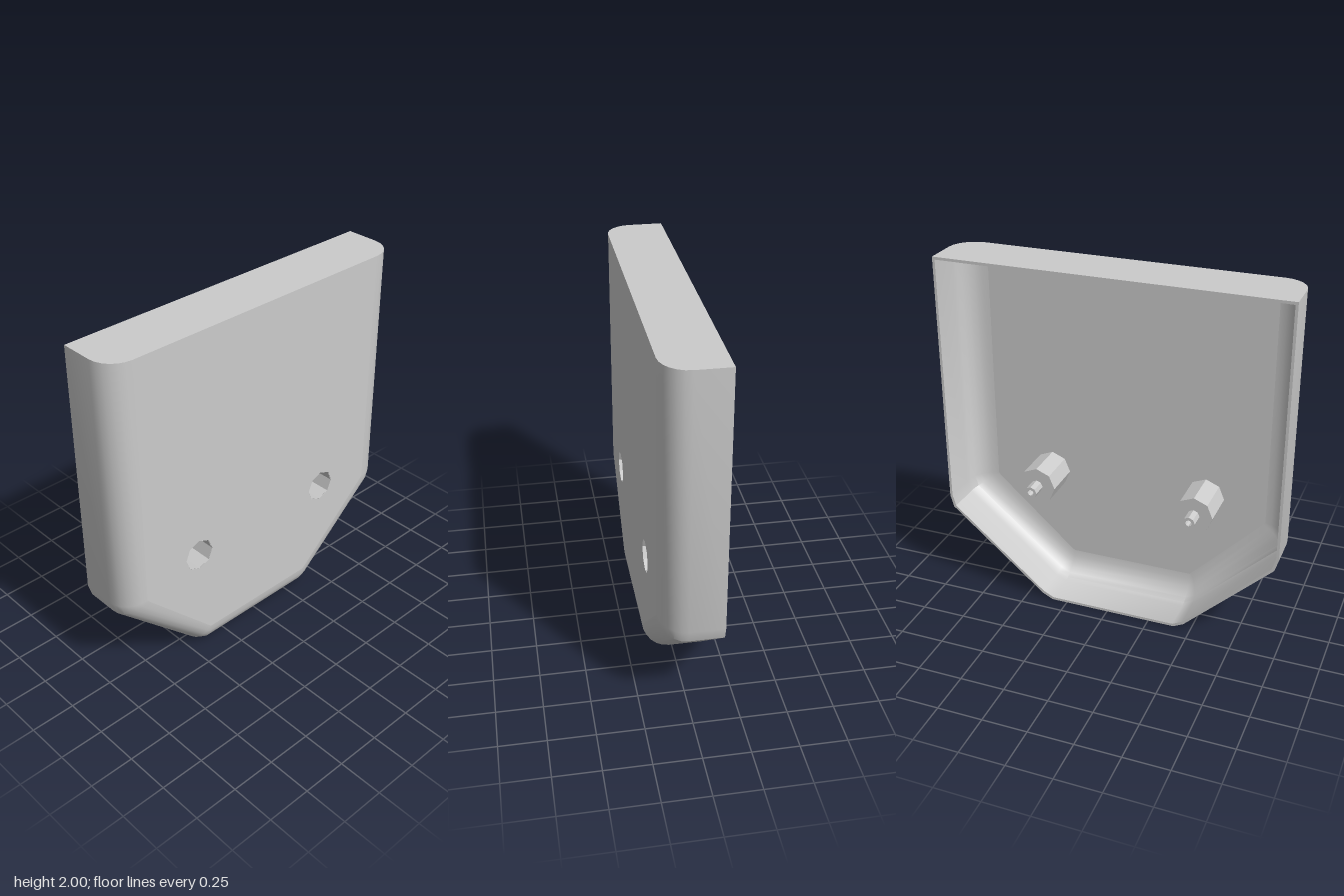
import * as THREE from 'three';
import { toCreasedNormals } from 'three/addons/utils/BufferGeometryUtils.js';

const BACK = -0.165, FRONT = 0.16, ROUND = 0.14, WALL = 0.015;
const POSTS = [[-0.47, 0.69], [0.455, 0.69]];

// Outer outline, and the matching outline of the flat front panel
const OUTER = [[-0.97, 2], [-0.97, 0.57], [-0.95, 0.5], [-0.46, 0.03], [-0.4, 0],
  [0.34, 0], [0.4, 0.03], [0.95, 0.5], [0.97, 0.57], [0.97, 2]];
const PANEL = [[-0.83, 2], [-0.83, 0.59], [-0.82, 0.575], [-0.41, 0.155], [-0.4, 0.145],
  [0.33, 0.145], [0.345, 0.155], [0.81, 0.575], [0.82, 0.59], [0.82, 2]];

// One loop round the tray: t runs 0 (side wall) to 1 (front panel)
function ring(t, z, shrink) {
  return OUTER.map(([x, y], i) => {
    const px = x + (PANEL[i][0] - x) * t, py = y + (PANEL[i][1] - y) * t;
    return [px * shrink, 1 + (py - 1) * shrink, z];
  });
}

// Loops from the back rim to the front panel
function skin(shrink, front) {
  const rings = [ring(0, BACK, shrink)];
  const steps = 6, start = FRONT - ROUND;
  for (let i = 0; i <= steps; i++) {
    const a = (i / steps) * Math.PI / 2;
    rings.push(ring(1 - Math.cos(a), start + (front - start) * Math.sin(a), shrink));
  }
  return rings;
}

function loft(rings) {
  const n = rings[0].length, index = [];
  for (let r = 0; r < rings.length - 1; r++) {
    for (let k = 0; k < n; k++) {
      const a = r * n + k, b = r * n + (k + 1) % n;
      index.push(a, b, b + n, a, b + n, a + n);
    }
  }
  const g = new THREE.BufferGeometry();
  g.setAttribute('position', new THREE.Float32BufferAttribute(rings.flat(2), 3));
  g.setIndex(index);
  return toCreasedNormals(g, 0.5);
}

export function createModel() {
  const group = new THREE.Group();
  const material = new THREE.MeshStandardMaterial({ color: 0xcccccc, side: THREE.DoubleSide });
  const add = (name, geometry) => {
    const mesh = new THREE.Mesh(geometry, material);
    mesh.name = name;
    group.add(mesh);
    return mesh;
  };

  // Side walls with rounded front edges: inside skin, back rim, outside skin
  const inside = skin(1 - WALL, FRONT - WALL).reverse();
  add('walls', loft([...inside, ...skin(1, FRONT)]));

  // Flat front panel with two screw holes
  const shape = new THREE.Shape(PANEL.map(([x, y]) => new THREE.Vector2(x, y)));
  for (const [x, y] of POSTS) {
    const hole = new THREE.Path();
    hole.absarc(x, y, 0.092, 0, Math.PI * 2, true);
    shape.holes.push(hole);
  }
  const panel = new THREE.ExtrudeGeometry(shape, { depth: WALL, bevelEnabled: false, curveSegments: 4 });
  panel.translate(0, 0, FRONT - WALL);
  add('frontPanel', panel);

  // Hollow screw posts, each ending in a small bored pin
  const profile = [[0.018, BACK], [0.035, BACK], [0.035, -0.08], [0.108, -0.08], [0.108, 0.15],
    [0.09, 0.158], [0.09, -0.06], [0.018, -0.06], [0.018, BACK]]
    .map(([r, z]) => new THREE.Vector2(r, z));
  const post = toCreasedNormals(new THREE.LatheGeometry(profile, 8).rotateX(Math.PI / 2), 0.5);
  for (const [x, y] of POSTS) add('screwPost', post).position.set(x, y, 0);

  return group;
}
